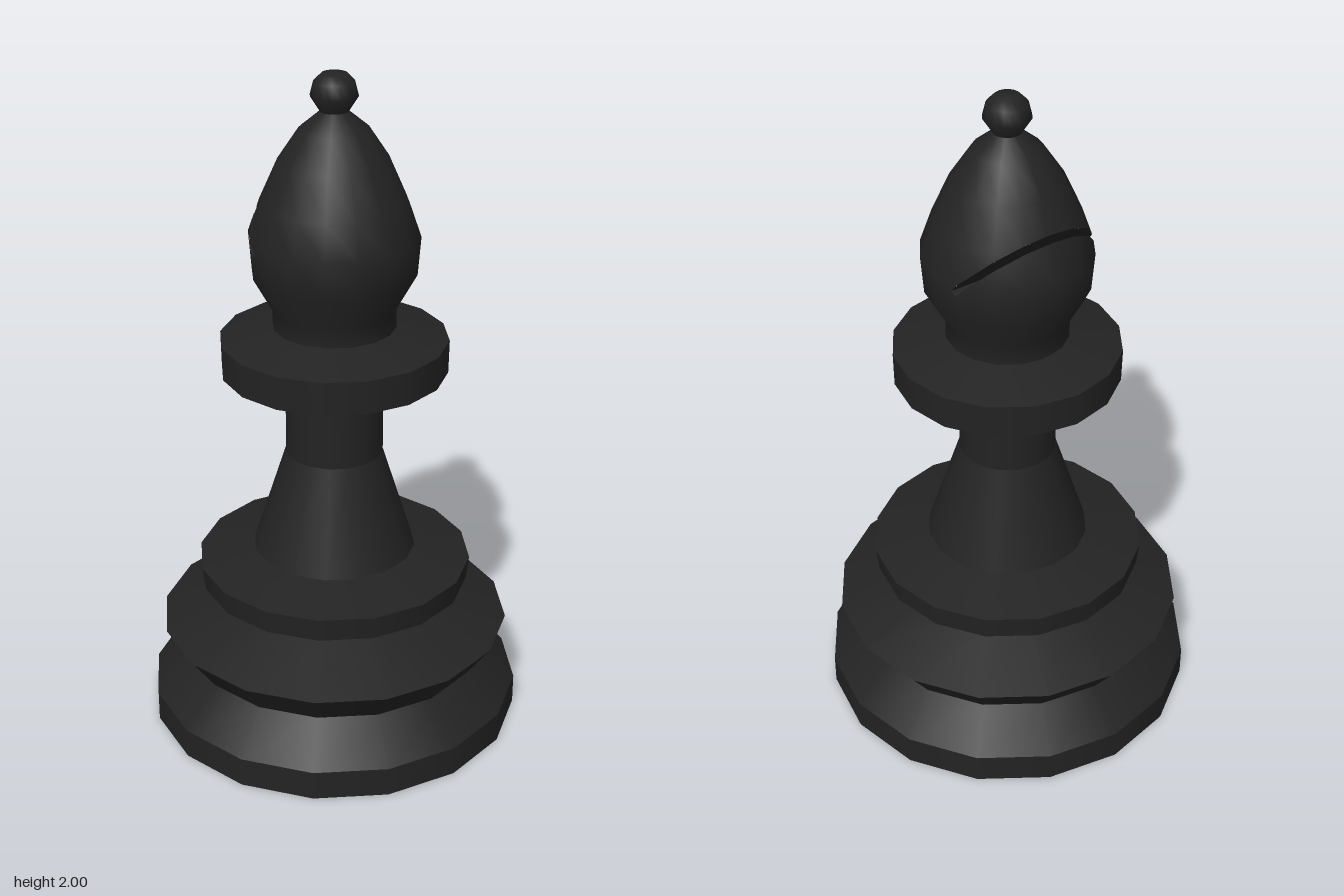
import * as THREE from 'three';

const SIDES = 16;
const black = new THREE.MeshStandardMaterial({ color: 0x232323 });
black.name = 'black';

const HEAD = [[0.18, 1.25], [0.18, 1.315], [0.238, 1.42], [0.247, 1.535], [0.212, 1.635],
  [0.16, 1.752], [0.1, 1.842], [0.036, 1.895]];
const KNOB = [[0.036, 1.885], [0.068, 1.935], [0.058, 1.975], [0.036, 1.997], [0, 2]];

// Slot frame: floor centre, direction out of the head, normal of its walls
const O = new THREE.Vector3(0, 1.5, -0.07);
const D = new THREE.Vector3(0, 0.165, -0.14).normalize();
const N = new THREE.Vector3(0, 0.14, 0.165).normalize();
const W = 0.01;

const lathe = (pts) => new THREE.LatheGeometry(pts.map(([r, y]) => new THREE.Vector2(r, y)), SIDES);

function add(group, name, geometry) {
  const mesh = new THREE.Mesh(geometry, black);
  mesh.name = name;
  group.add(mesh);
}

// Sharp-edged turned part: one open cone band per profile segment
function turned(group, name, pts) {
  const part = new THREE.Group();
  part.name = name;
  for (let i = 1; i < pts.length; i++) {
    const [r0, y0] = pts[i - 1], [r1, y1] = pts[i];
    const band = new THREE.CylinderGeometry(r1, r0, y1 - y0, SIDES, 1, true);
    band.translate(0, (y0 + y1) / 2, 0);
    add(part, name + 'Band', band);
  }
  group.add(part);
}

// Split a polygon of {p, n} corners by a signed distance function
function split(poly, dist) {
  const inside = [], outside = [];
  poly.forEach((a, i) => {
    const b = poly[(i + 1) % poly.length];
    const da = dist(a.p), db = dist(b.p);
    (da > 0 ? inside : outside).push(a);
    if ((da > 0) !== (db > 0)) {
      const t = da / (da - db);
      const cut = { p: a.p.clone().lerp(b.p, t), n: a.n.clone().lerp(b.n, t).normalize() };
      inside.push(cut);
      outside.push(cut);
    }
  });
  return { inside, outside };
}

// Smooth head shell with the slot removed
function headShell() {
  const g = lathe(HEAD).toNonIndexed();
  const P = g.attributes.position, M = g.attributes.normal;
  const rel = (p) => p.clone().sub(O);
  const limits = [
    (p) => rel(p).dot(N) + W,
    (p) => W - rel(p).dot(N),
    (p) => rel(p).dot(D),
  ];
  const pos = [], nor = [];
  const emit = (poly) => {
    for (let i = 2; i < poly.length; i++) {
      for (const v of [poly[0], poly[i - 1], poly[i]]) {
        pos.push(...v.p.toArray());
        nor.push(...v.n.toArray());
      }
    }
  };
  for (let i = 0; i < P.count; i += 3) {
    let poly = [0, 1, 2].map((k) => ({
      p: new THREE.Vector3().fromBufferAttribute(P, i + k),
      n: new THREE.Vector3().fromBufferAttribute(M, i + k),
    }));
    for (const limit of limits) {
      const { inside, outside } = split(poly, limit);
      emit(outside);
      poly = inside;
    }
  }
  const out = new THREE.BufferGeometry();
  out.setAttribute('position', new THREE.Float32BufferAttribute(pos, 3));
  out.setAttribute('normal', new THREE.Float32BufferAttribute(nor, 3));
  return out;
}

// Whether a point lies within the faceted head
function inHead(x, y, z) {
  const i = HEAD.findIndex((q) => q[1] >= y);
  if (i < 1) return false;
  const [r0, y0] = HEAD[i - 1], [r1, y1] = HEAD[i];
  const r = r0 + (r1 - r0) * (y - y0) / (y1 - y0);
  const half = Math.PI / SIDES;
  const a = Math.abs(Math.atan2(x, z)) % (2 * half);
  return Math.hypot(x, z) <= r * Math.cos(half) / Math.cos(a - half);
}

// Largest value up to max that passes the test
function reach(max, test) {
  let lo = 0, hi = max;
  for (let i = 0; i < 30; i++) {
    const mid = (lo + hi) / 2;
    if (test(mid)) lo = mid; else hi = mid;
  }
  return lo;
}

// Two walls and the floor of the slot, each a strip across the head
function slotFaces() {
  const pos = [];
  const strip = (centres, flip) => {
    const rows = centres.map((c) => {
      const x = reach(0.3, (v) => inHead(v, c.y, c.z));
      return [[-x, c.y, c.z], [x, c.y, c.z]];
    });
    for (let i = 1; i < rows.length; i++) {
      const [a, b] = rows[i - 1], [d, c] = rows[i];
      const order = flip ? [a, c, b, a, d, c] : [a, b, c, a, c, d];
      order.forEach((v) => pos.push(...v));
    }
  };
  for (const s of [-1, 1]) {
    const at = (t) => O.clone().addScaledVector(N, s * W).addScaledVector(D, t);
    const end = reach(0.4, (t) => inHead(0, at(t).y, at(t).z));
    const steps = Array.from({ length: 25 }, (_, i) => at(end * Math.sin((i / 24) * Math.PI / 2)));
    strip(steps, s > 0);
  }
  strip([-W, W].map((w) => O.clone().addScaledVector(N, w)), true);
  const g = new THREE.BufferGeometry();
  g.setAttribute('position', new THREE.Float32BufferAttribute(pos, 3));
  g.computeVertexNormals();
  return g;
}

export function createModel() {
  const model = new THREE.Group();
  model.name = 'chessBishop';

  add(model, 'underside', new THREE.CircleGeometry(0.565, SIDES).rotateX(Math.PI / 2));
  turned(model, 'base', [[0.565, 0], [0.565, 0.09], [0.458, 0.208], [0.53, 0.308], [0.305, 0.393]]);
  turned(model, 'baseRing', [[0.305, 0.393], [0.405, 0.438], [0.413, 0.51], [0.245, 0.545]]);
  turned(model, 'stem', [[0.245, 0.545], [0.145, 0.86], [0.145, 1.105]]);
  turned(model, 'collar', [[0.145, 1.1], [0.333, 1.122], [0.335, 1.222], [0.175, 1.26]]);

  // Head with its diagonal slot on the back, and the knob on top
  const head = new THREE.Group();
  head.name = 'head';
  add(head, 'headShell', headShell());
  add(head, 'slot', slotFaces());
  add(head, 'knob', lathe(KNOB));
  model.add(head);

  return model;
}
